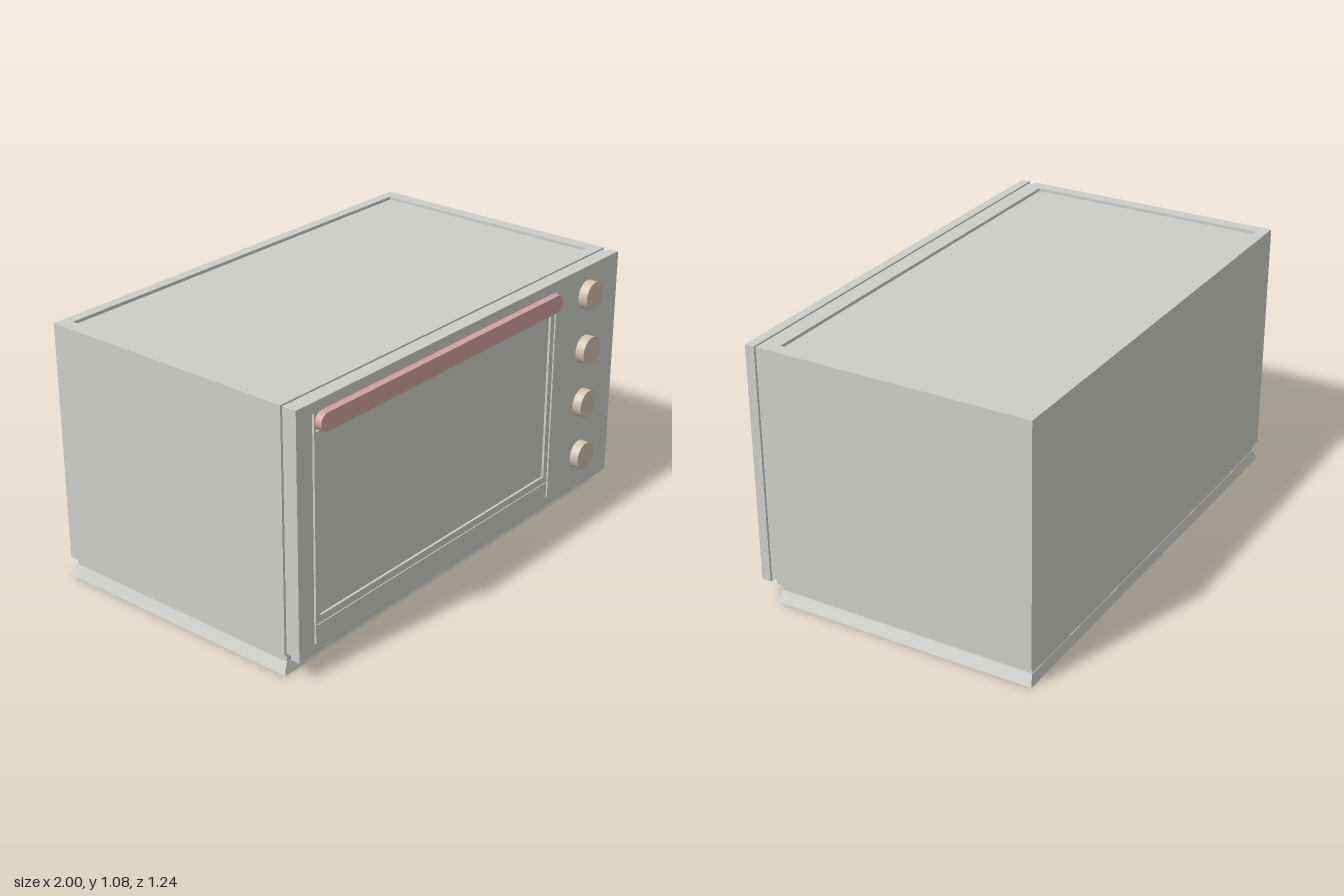
import * as THREE from 'three';

export function createModel() {
  const oven = new THREE.Group();
  oven.name = 'toasterOven';
  const casing = new THREE.MeshStandardMaterial({ name: 'warm grey', color: 0xcdcec7 });
  const pink = new THREE.MeshStandardMaterial({ name: 'dusty pink', color: 0xd2a29e });
  const tan = new THREE.MeshStandardMaterial({ name: 'tan', color: 0xd0c1ad });

  const add = (name, geometry, material = casing) => {
    const mesh = new THREE.Mesh(geometry, material);
    mesh.name = name;
    oven.add(mesh);
    return mesh;
  };
  const box = (x0, x1, y0, y1, z0, z1) =>
    new THREE.BoxGeometry(x1 - x0, y1 - y0, z1 - z0)
      .translate((x0 + x1) / 2, (y0 + y1) / 2, (z0 + z1) / 2);
  const rect = (target, x0, x1, y0, y1) => {
    target.moveTo(x0, y0);
    target.lineTo(x1, y0);
    target.lineTo(x1, y1);
    target.lineTo(x0, y1);
    target.closePath();
    return target;
  };
  const plate = (shape, depth) =>
    new THREE.ExtrudeGeometry(shape, { depth, bevelEnabled: false, curveSegments: 12 });

  // Flared foot: a box whose top corners are drawn in
  const foot = box(-1, 1, 0, 0.045, -0.62, 0.51);
  const p = foot.attributes.position;
  for (let i = 0; i < p.count; i++) {
    if (p.getY(i) > 0.02) {
      p.setX(i, p.getX(i) - Math.sign(p.getX(i)) * 0.02);
      p.setZ(i, p.getZ(i) - Math.sign(p.getZ(i)) * 0.01);
    }
  }
  foot.computeVertexNormals();
  add('foot', foot);
  add('neck', box(-0.975, 0.975, 0.045, 0.085, -0.608, 0.498));

  // Cabinet with a shallow panel sunk into its top
  add('cabinet', box(-1, 1, 0.083, 1.07, -0.62, 0.51));
  const rim = rect(new THREE.Shape(), -1, 1, -0.51, 0.62);
  rim.holes.push(rect(new THREE.Path(), -0.945, 0.945, -0.46, 0.575));
  add('topRim', plate(rim, 0.013).rotateX(-Math.PI / 2).translate(0, 1.07, 0));
  add('frontSeam', box(-0.99, 0.99, 0.09, 1.076, 0.5, 0.56));

  // Front panel, cut through for the door gaps and the window
  const front = rect(new THREE.Shape(), -1, 1, 0.083, 1.083);
  const cuts = [
    [-0.917, -0.907, 0.125, 1.04],
    [0.549, 0.559, 0.125, 1.04],
    [-0.9, 0.542, 0.967, 0.973],
    [-0.9, 0.542, 0.196, 0.2],
    [-0.883, 0.524, 0.23, 0.943],
  ];
  cuts.forEach((c) => front.holes.push(rect(new THREE.Path(), ...c)));
  add('frontPanel', plate(front, 0.04).translate(0, 0, 0.54));
  add('doorWindow', box(-0.883, 0.524, 0.23, 0.943, 0.555, 0.57));

  // Door handle: a flat bar with round ends on a slimmer mount
  const r = 0.036;
  const bar = new THREE.Shape();
  bar.absarc(0.552 - r, 0, r, -Math.PI / 2, Math.PI / 2);
  bar.absarc(-0.91 + r, 0, r, Math.PI / 2, Math.PI * 1.5);
  bar.closePath();
  add('doorHandle', plate(bar, 0.03).translate(0, 1.007, 0.585), pink);
  add('handleMount', box(-0.86, 0.5, 0.985, 1.03, 0.575, 0.588), pink);

  // Control knobs
  for (let i = 0; i < 4; i++) {
    const knob = add('knob', new THREE.CylinderGeometry(0.06, 0.06, 0.045, 32), tan);
    knob.rotation.x = Math.PI / 2;
    knob.position.set(0.777, 0.243 + i * 0.24, 0.5975);
  }
  return oven;
}
